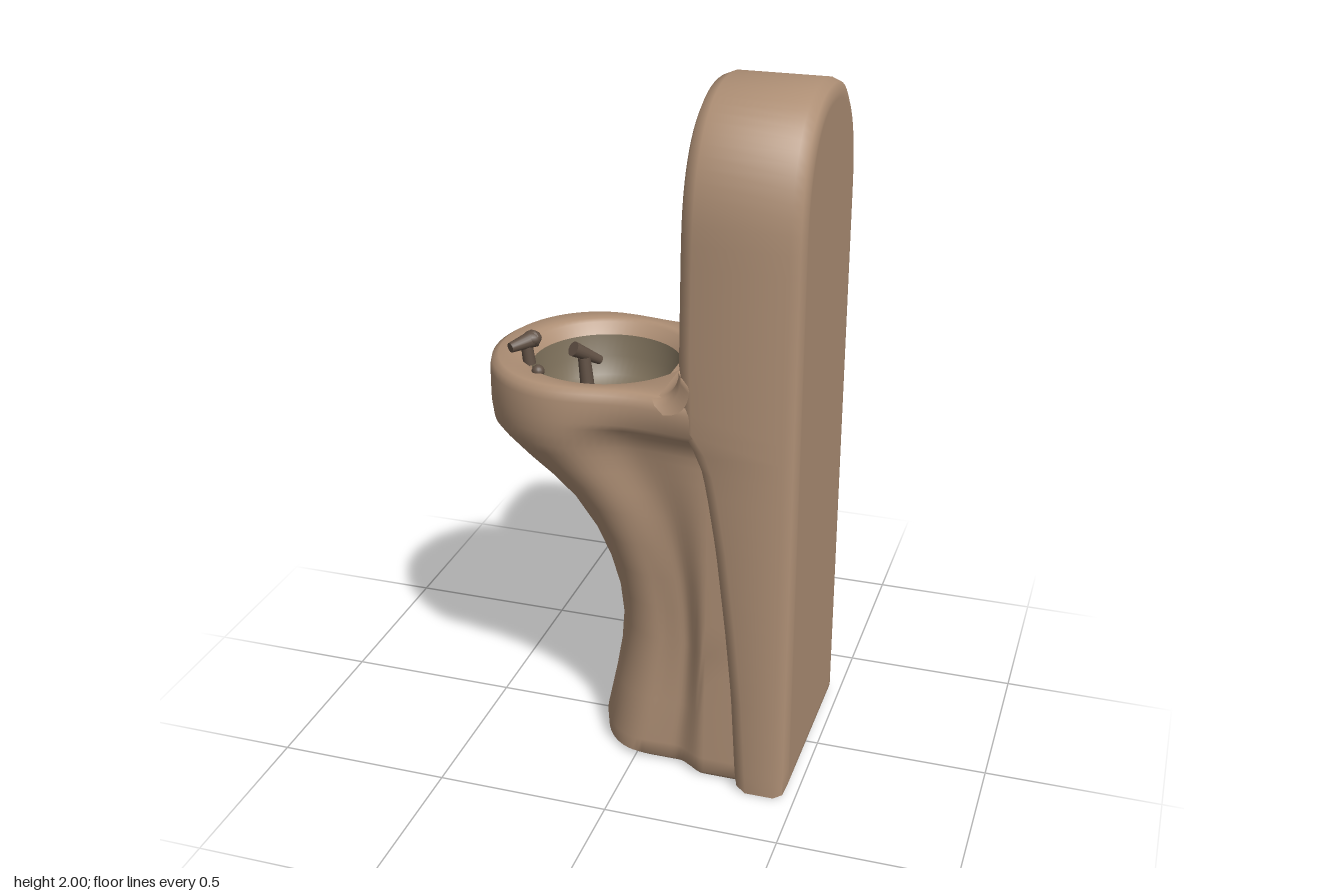
import * as THREE from 'three';
import { toCreasedNormals } from 'three/addons/utils/BufferGeometryUtils.js';

const mat = (name, color) => {
  const m = new THREE.MeshStandardMaterial({ color });
  m.name = name;
  return m;
};

// Skin a surface over closed rings of [x, y, z] points
function loft(rings) {
  const n = rings[0].length, index = [];
  for (let i = 0; i < rings.length - 1; i++) {
    for (let j = 0; j < n; j++) {
      const k = (j + 1) % n, a = i * n + j, b = i * n + k, c = a + n, d = b + n;
      index.push(a, b, d, a, d, c);
    }
  }
  const g = new THREE.BufferGeometry();
  g.setAttribute('position', new THREE.Float32BufferAttribute(rings.flat(2), 3));
  g.setIndex(index);
  g.computeVertexNormals();
  return toCreasedNormals(g, 0.9);
}

// Piecewise linear lookup in [key, value] pairs
function lookup(table, t) {
  for (let i = 1; i < table.length; i++) {
    const [a, va] = table[i - 1], [b, vb] = table[i];
    if (t <= b) return va + (vb - va) * Math.max(0, (t - a) / (b - a));
  }
  return table[table.length - 1][1];
}

// Arch outline as [z, y]: up the +z side, over the top, down the -z side, along the bottom
function arch(hw, bottom, spring, top, power) {
  const p = [], e = 2 / power;
  for (let i = 0; i < 28; i++) p.push([hw, bottom + (spring - bottom) * i / 28]);
  for (let i = 0; i <= 32; i++) {
    const a = Math.PI * i / 32, c = Math.cos(a), s = Math.sin(a);
    p.push([hw * Math.sign(c) * Math.abs(c) ** e, spring + (top - spring) * Math.max(0, s) ** e]);
  }
  for (let i = 27; i >= 0; i--) p.push([-hw, bottom + (spring - bottom) * i / 28]);
  for (let i = 1; i < 8; i++) p.push([-hw + 2 * hw * i / 8, bottom]);
  return p;
}

// Horizontal section of the pedestal: rounded nose, waist, flare into the tower
function section([y, xf, xc, wNose, wWaist, wBack]) {
  const half = [], xw = (xc + 0.22) / 2, ease = t => (1 - Math.cos(Math.PI * t)) / 2;
  for (let i = 0; i <= 16; i++) {
    const a = Math.PI / 2 * i / 16;
    half.push([xc + (xf - xc) * Math.cos(a), y, wNose * Math.sin(a)]);
  }
  for (let i = 1; i <= 8; i++) half.push([xc + (xw - xc) * i / 8, y, wNose + (wWaist - wNose) * ease(i / 8)]);
  for (let i = 1; i <= 8; i++) half.push([xw + (0.22 - xw) * i / 8, y, wWaist + (wBack - wWaist) * ease(i / 8)]);
  for (let i = 12; i >= 0; i--) half.push([0.34, y, wBack * i / 12]);
  const other = half.slice(1, -1).reverse().map(([x, yy, z]) => [x, yy, -z]);
  return [...half, ...other];
}

export function createModel() {
  const group = new THREE.Group();
  const body = mat('tan body', 0xae8f75);
  const bowlMat = mat('olive bowl', 0x7a6d58);
  const nicheMat = mat('dark niche', 0x554d3f);
  const metal = mat('dark fixture', 0x5f4f43);
  const add = (name, geo, material, pos = [0, 0, 0]) => {
    const m = new THREE.Mesh(geo, material);
    m.name = name;
    m.position.set(...pos);
    group.add(m);
  };
  // Round bar between two points
  const bar = (name, a, b, r0, r1) => {
    const A = new THREE.Vector3(...a), d = new THREE.Vector3(...b).sub(A);
    const geo = new THREE.CylinderGeometry(r1, r0, d.length(), 16).translate(0, d.length() / 2, 0);
    geo.applyQuaternion(new THREE.Quaternion().setFromUnitVectors(new THREE.Vector3(0, 1, 0), d.normalize()));
    add(name, geo, metal, a);
  };

  // Tower: bevelled arch whose front edge sweeps back below the basin
  const frontX = y => lookup([[0, 0.318], [0.3, 0.3], [0.5, 0.28], [0.75, 0.25], [0.92, 0.222],
    [1.0, 0.205], [1.05, 0.185], [1.09, 0.15], [1.3, 0.142], [1.6, 0.145], [2, 0.153]], y);
  const outer = inset => arch(0.307 - inset, inset, 1.63, 2 - inset, 2.35);
  const back = (inset, x) => outer(inset).map(([z, y]) => [x, y, z]);
  const front = (inset, dx) => outer(inset).map(([z, y]) => [frontX(y) + dx, y, z]);
  add('tower', loft([
    back(0, 0).map(() => [0.475, 1, 0]), back(0.05, 0.475), back(0.035, 0.475), back(0.01, 0.465), back(0, 0.44),
    front(0, 0.04), front(0.012, 0.012), front(0.04, 0),
    arch(0.22, 0.04, 1.67, 1.83, 2.8).map(([z, y]) => [frontX(y), y, z]),
  ]), body);

  // Niche in the tower front, with its sill and rim
  const hole = arch(0.22, 1.26, 1.67, 1.83, 2.8);
  const inner = arch(0.203, 1.28, 1.67, 1.81, 2.8);
  add('niche', loft([
    hole.map(([z, y]) => [frontX(y), y, z]), inner.map(([z, y]) => [0.175, y, z]),
    inner.map(([z, y]) => [0.28, y, z]), inner.map(() => [0.28, 1.5, 0]),
  ]), nicheMat);
  add('nicheSill', new THREE.BoxGeometry(0.13, 0.24, 0.45), body, [0.209, 1.14, 0]);
  const rimPath = new THREE.CatmullRomCurve3(hole.map(([z, y]) => new THREE.Vector3(frontX(y) + 0.002, y, z)), true);
  add('nicheRim', new THREE.TubeGeometry(rimPath, 140, 0.005, 6, true), nicheMat);

  // Filler spout hanging from the top of the niche
  add('spoutMount', new THREE.CylinderGeometry(0.06, 0.06, 0.07, 24), metal, [0.2, 1.78, 0]);
  add('spoutNozzle', new THREE.CylinderGeometry(0.045, 0.036, 0.08, 24), metal, [0.195, 1.71, 0]);

  // Pedestal and basin in one skin, closed below, open at the bowl
  const rows = [
    [0, -0.12, 0.04, 0.205, 0.205, 0.25], [0.015, -0.14, 0.02, 0.222, 0.22, 0.262],
    [0.06, -0.143, 0.02, 0.223, 0.22, 0.262], [0.2, -0.115, 0.05, 0.21, 0.212, 0.26],
    [0.3, -0.098, 0.06, 0.204, 0.208, 0.258], [0.4, -0.092, 0.07, 0.2, 0.206, 0.256],
    [0.5, -0.104, 0.06, 0.2, 0.206, 0.254], [0.6, -0.135, 0.04, 0.204, 0.208, 0.253],
    [0.7, -0.18, 0, 0.215, 0.21, 0.252], [0.8, -0.25, -0.05, 0.232, 0.213, 0.251],
    [0.87, -0.323, -0.1, 0.248, 0.217, 0.25], [0.93, -0.397, -0.15, 0.266, 0.222, 0.25],
    [0.98, -0.45, -0.185, 0.283, 0.23, 0.25], [1.01, -0.474, -0.2, 0.295, 0.237, 0.252],
    [1.05, -0.479, -0.2, 0.303, 0.25, 0.262], [1.075, -0.48, -0.2, 0.306, 0.272, 0.287],
    [1.095, -0.48, -0.2, 0.307, 0.284, 0.306], [1.155, -0.48, -0.2, 0.307, 0.285, 0.306],
    [1.178, -0.475, -0.2, 0.302, 0.28, 0.303], [1.19, -0.455, -0.2, 0.287, 0.265, 0.288],
  ];
  const rings = rows.map(section), top = rings[rings.length - 1];
  const rimRing = (r, y) => top.map(([x, , z]) => {
    const a = Math.atan2(z, x + 0.15);
    return [-0.15 + r * Math.cos(a), y, r * Math.sin(a)];
  });
  add('pedestalAndBasin', loft([
    top.map(() => [0.1, 0, 0]), ...rings, rimRing(0.248, 1.19), rimRing(0.237, 1.182), rimRing(0.214, 1.15),
  ]), body);

  // Bowl
  const bowl = [[0, 0.995], [0.06, 0.997], [0.13, 1.01], [0.175, 1.04], [0.2, 1.09], [0.214, 1.151]];
  add('bowl', new THREE.LatheGeometry(bowl.map(p => new THREE.Vector2(...p)), 64), bowlMat, [-0.15, 0, 0]);
  bowlMat.side = THREE.DoubleSide;
  add('drain', new THREE.TorusGeometry(0.02, 0.004, 8, 24).rotateX(Math.PI / 2), bowlMat, [-0.105, 1.001, 0]);

  // Concave fillet where the basin meets the tower, sinking away at both ends
  const curve = new THREE.QuadraticBezierCurve(
    new THREE.Vector2(0.143, 1.275), new THREE.Vector2(0.14, 1.19), new THREE.Vector2(0.07, 1.188));
  const profile = [[0.2, 1.275], ...curve.getPoints(10).map(p => [p.x, p.y]), [0.2, 1.16]];
  const ends = [[0.265, 0, 0], [0.285, 0.004, 0.004], [0.297, 0.013, 0.014], [0.306, 0.04, 0.035]];
  const stations = [...ends.map(([z, dx, dy]) => [-z, dx, dy]).reverse(), ...ends];
  add('fillet', loft(stations.map(([z, dx, dy]) => profile.map(([x, y]) => [x + dx, y - dy, z]))), body);

  // Bubbler standing in the bowl
  bar('bubblerStem', [-0.2, 0.995, 0.01], [-0.218, 1.16, 0.005], 0.022, 0.018);
  bar('bubblerHead', [-0.185, 1.14, -0.035], [-0.242, 1.192, 0.028], 0.013, 0.022);

  // Lever tap and push button on the rim
  bar('tapPost', [-0.33, 1.18, 0.14], [-0.338, 1.24, 0.14], 0.018, 0.016);
  bar('tapLever', [-0.368, 1.24, 0.185], [-0.322, 1.25, 0.12], 0.014, 0.025);
  add('tapKnob', new THREE.SphereGeometry(0.027, 16, 12).scale(1, 0.8, 1), metal, [-0.327, 1.251, 0.125]);
  add('button', new THREE.SphereGeometry(0.018, 16, 12), metal, [-0.28, 1.19, 0.205]);

  return group;
}
